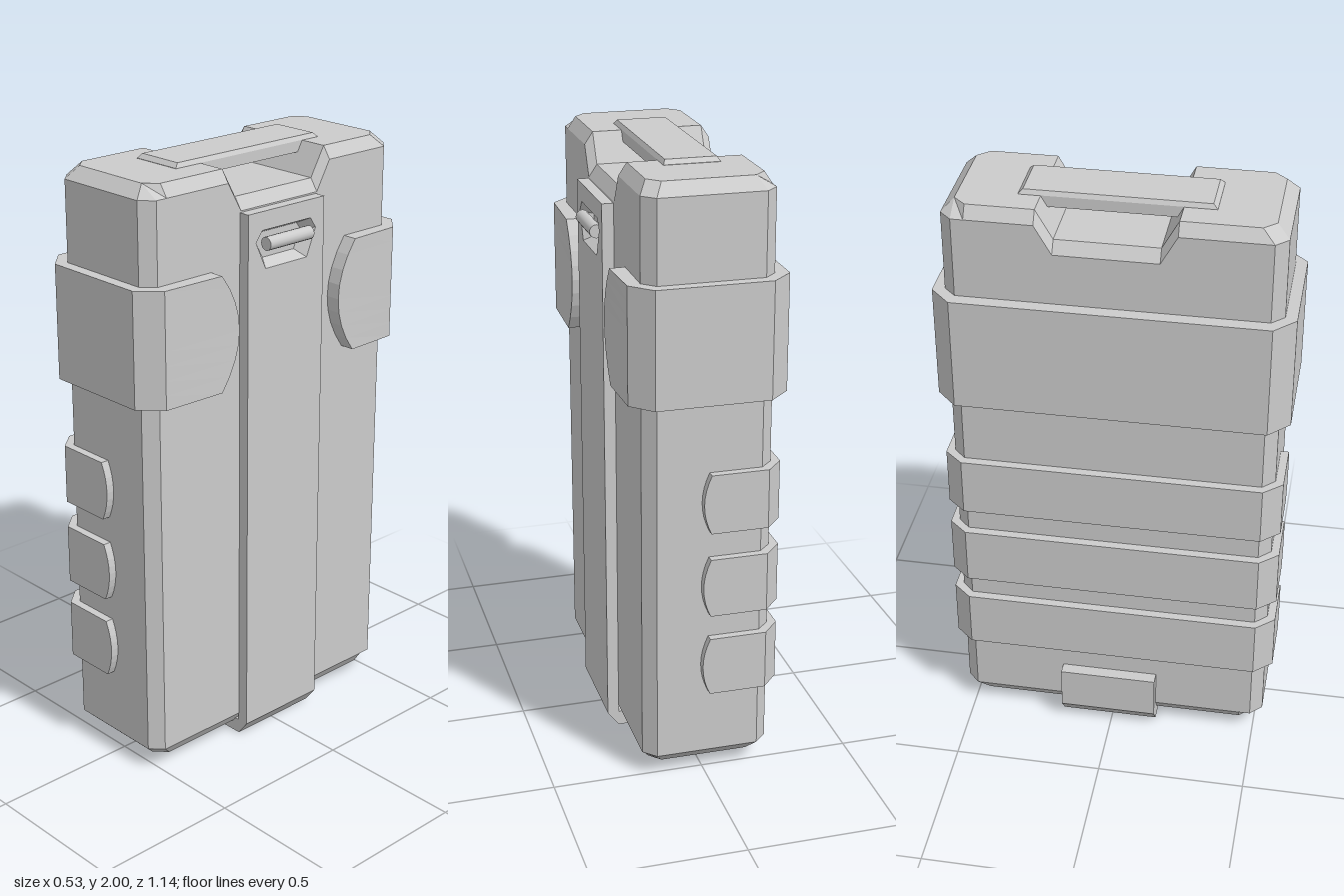
import * as THREE from 'three';

const material = new THREE.MeshStandardMaterial({ color: 0xcccccc, flatShading: true });

function part(name, geometry) {
  const mesh = new THREE.Mesh(geometry, material);
  mesh.name = name;
  return mesh;
}

// Skins equal-length loops (counter-clockwise seen from +z), ordered from -z to +z.
function loft(loops) {
  const n = loops[0].length, last = (loops.length - 1) * n, index = [];
  for (let s = 0; s < loops.length - 1; s++) {
    for (let i = 0; i < n; i++) {
      const j = (i + 1) % n, a = s * n + i, b = s * n + j;
      index.push(a, b, b + n, a, b + n, a + n);
    }
  }
  for (let i = 1; i < n - 1; i++) index.push(0, i + 1, i, last, last + i, last + i + 1);
  const g = new THREE.BufferGeometry();
  g.setAttribute('position', new THREE.Float32BufferAttribute(loops.flat(2), 3));
  g.setIndex(index);
  const flat = g.toNonIndexed();
  flat.computeVertexNormals();
  return flat;
}

// Moves every vertex by a rule, then refreshes the normals.
function reshape(geometry, rule) {
  const p = geometry.attributes.position, v = new THREE.Vector3();
  for (let i = 0; i < p.count; i++) {
    rule(v.fromBufferAttribute(p, i));
    p.setXYZ(i, v.x, v.y, v.z);
  }
  geometry.computeVertexNormals();
  return geometry;
}

// Case cross-section at z: octagon with its own top, side inset and flat inset.
function caseSection([z, side, flat, top, bevel]) {
  const x0 = -0.22 + side, x1 = 0.2 - side, f0 = -0.22 + flat, f1 = 0.2 - flat;
  const low = 0.077, bottom = low - bevel;
  return [
    [f0, bottom, z], [f1, bottom, z], [x1, low, z], [x1, top - 0.04, z],
    [f1, top - 0.04 + bevel, z], [f0, top - 0.04 + bevel, z], [x0, top - 0.04, z], [x0, low, z],
  ];
}

// Extrudes an (x, z) outline upwards from y0 to y1.
function band(points, y0, y1, rule) {
  const shape = new THREE.Shape(points.map(([x, z]) => new THREE.Vector2(x, -z)));
  const g = new THREE.ExtrudeGeometry(shape, { depth: y1 - y0, steps: 8, bevelEnabled: false });
  g.rotateX(-Math.PI / 2).translate(0, y0, 0);
  // u runs from 0 at mid height to 1 at the upper and lower edges
  return reshape(g, (v) => rule(v, Math.abs((2 * (v.y - y0)) / (y1 - y0) - 1)));
}

// Half outline followed by its mirror image in z.
const mirrored = (half) => [...half, ...half.map(([x, z]) => [x, -z]).reverse()];

export function createModel() {
  const model = new THREE.Group();

  // Bevelled case with a notch across the top
  const T = 1.985;
  model.add(part('case', loft([
    [-0.53, 0.04, 0.04, T, 0],
    [-0.49, 0, 0.065, T, 0.04],
    [-0.45, 0, 0.027, T, 0.04],
    [-0.235, 0, 0.027, T, 0.04],
    [-0.18, 0, 0.027, 1.89, 0.04],
    [0.15, 0, 0.027, 1.89, 0.04],
    [0.203, 0, 0.027, T, 0.04],
    [0.45, 0, 0.027, T, 0.04],
    [0.49, 0, 0.065, T, 0.04],
    [0.53, 0.04, 0.04, T, 0],
  ].map(caseSection))));

  // Top bar bridging the notch, with a bevelled upper edge
  const bar = reshape(new THREE.BoxGeometry(0.18, 0.05, 0.61, 1, 2, 1), (v) => {
    if (Math.abs(v.y) < 0.001) v.y = 0.011;
    else if (v.y > 0) { v.x -= Math.sign(v.x) * 0.008; v.z -= Math.sign(v.z) * 0.014; }
  });
  bar.translate(-0.013, 1.975, 0);
  model.add(part('topBar', bar));

  // Wide clamp around the case, open on the +x side with rounded tips
  const clamp = mirrored([
    [0.19, 0.22], [0.25, 0.22], [0.243, 0.5], [0.175, 0.568], [-0.195, 0.568], [-0.265, 0.5],
  ]);
  const clampInside = mirrored([
    [-0.21, -0.48], [-0.17, -0.52], [0.15, -0.52], [0.19, -0.48],
  ]).reverse();
  // the inner outline runs from the -z tip back round to the +z tip
  const inner = [
    [0.19, -0.48], [0.15, -0.52], [-0.17, -0.52], [-0.21, -0.48],
    [-0.21, 0.48], [-0.17, 0.52], [0.15, 0.52], [0.19, 0.48],
  ].filter((p) => clampInside.some((q) => q[0] === p[0] && q[1] === p[1]));
  model.add(part('clamp', band([...clamp, ...inner], 1.3, 1.68, (v, u) => {
    if (v.x > 0.18 && Math.abs(v.z) < 0.3) {
      v.z += Math.sign(v.z) * 0.073 * u * u - 0.018;
    }
  })));

  // Three grip ribs wrapping the -x side
  const rib = [
    ...mirrored([[0.015, 0.51], [0.015, 0.557], [-0.195, 0.557], [-0.25, 0.495]]),
    [-0.17, -0.51], [-0.21, -0.47], [-0.21, 0.47], [-0.17, 0.51],
  ];
  for (const y of [0.3, 0.58, 0.868]) {
    model.add(part('gripRib', band(rib, y, y + 0.198, (v, u) => {
      if (v.x > 0) v.x -= 0.024 * u * u;
    })));
  }

  // Strap panel on the +x side with a tapered six-sided recess
  const panel = new THREE.Shape([
    [-0.155, 0.05], [0.175, 0.05], [0.175, 1.845], [-0.155, 1.845],
  ].map(([u, y]) => new THREE.Vector2(u, y)));
  panel.holes.push(new THREE.Path([
    [-0.095, 1.785], [-0.122, 1.75], [-0.08, 1.66], [0.1, 1.66], [0.138, 1.75], [0.115, 1.785],
  ].map(([u, y]) => new THREE.Vector2(u, y))));
  const panelGeo = new THREE.ExtrudeGeometry(panel, { depth: 0.04, bevelEnabled: false });
  reshape(panelGeo, (v) => {
    if (v.z < 0.01 && v.y > 1.6 && v.y < 1.8) {
      v.x = 0.01 + (v.x - 0.01) * 0.75;
      v.y = 1.73 + (v.y - 1.73) * 0.65;
    }
  });
  panelGeo.rotateY(Math.PI / 2).translate(0.198, 0, 0);
  model.add(part('strapPanel', panelGeo));

  // Strap passing under the case and up to a short tab on the -x side
  const hook = new THREE.Shape([
    [0.238, 0.05], [0.2, 0], [-0.215, 0], [-0.262, 0.06], [-0.262, 0.21],
    [-0.21, 0.21], [-0.21, 0.085], [-0.185, 0.05],
  ].map(([x, y]) => new THREE.Vector2(x, y)));
  const hookGeo = new THREE.ExtrudeGeometry(hook, { depth: 0.33, bevelEnabled: false });
  hookGeo.translate(0, 0, -0.175);
  model.add(part('strapBase', hookGeo));

  // Pin lying across the recess
  const pin = new THREE.CylinderGeometry(0.022, 0.022, 0.19, 16);
  pin.rotateX(Math.PI / 2).translate(0.24, 1.74, -0.014);
  const pinMesh = part('pin', pin);
  pinMesh.material = new THREE.MeshStandardMaterial({ color: 0xcccccc });
  model.add(pinMesh);

  return model;
}
